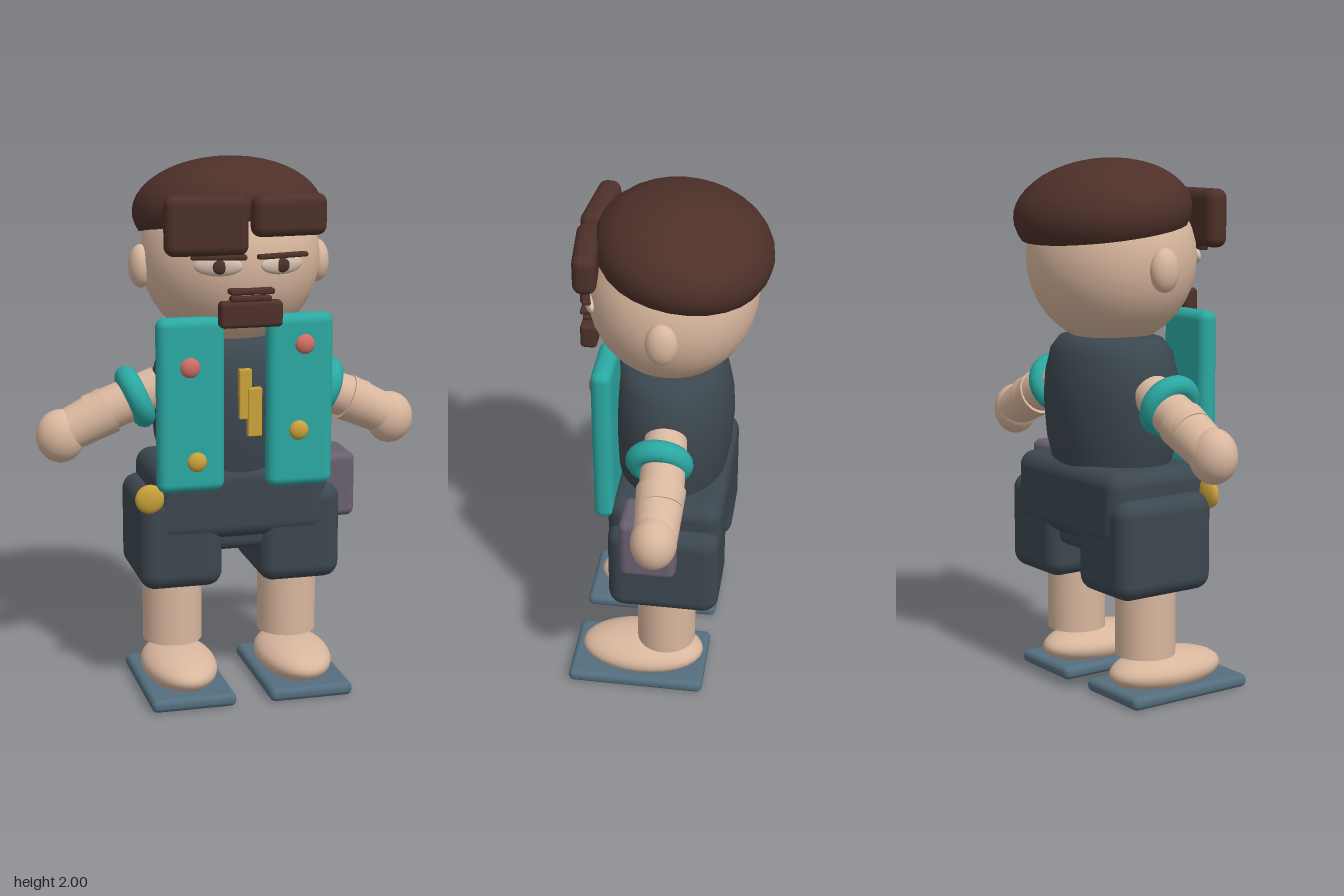
import * as THREE from 'three';
import { RoundedBoxGeometry } from 'three/addons/geometries/RoundedBoxGeometry.js';

const mat = (name, color, side = THREE.FrontSide) => {
  const m = new THREE.MeshStandardMaterial({ color, side });
  m.name = name;
  return m;
};

export function createModel() {
  const model = new THREE.Group();
  model.name = 'figure';
  const skin = mat('skin', 0xd9b79e);
  const hair = mat('hairBrown', 0x4d3029, THREE.DoubleSide);
  const teal = mat('vestTeal', 0x2ba8a2);
  const dark = mat('clothSlate', 0x3c474f);
  const sole = mat('soleBlue', 0x546e7e);
  const purple = mat('pouchPurple', 0x6a6070);
  const gold = mat('gold', 0xc9a23a);
  const pink = mat('buttonPink', 0xcf6e66);
  const eyeTone = mat('eyeBeige', 0xd6c0ae);

  const add = (name, geo, material, pos, rot = [0, 0, 0]) => {
    const m = new THREE.Mesh(geo, material);
    m.name = name;
    m.position.set(...pos);
    m.rotation.set(...rot);
    model.add(m);
    return m;
  };
  const box = (name, material, size, pos, r = 0.02, rot) =>
    add(name, new RoundedBoxGeometry(...size, 4, r), material, pos, rot);
  const ball = (name, material, radii, pos, rot) =>
    add(name, new THREE.SphereGeometry(1, 28, 18).scale(...radii), material, pos, rot);
  // Tapered limb running from a to b
  const limb = (name, a, b, ra, rb) => {
    const from = new THREE.Vector3(...a), to = new THREE.Vector3(...b);
    const dir = to.clone().sub(from);
    const m = add(name, new THREE.CylinderGeometry(rb, ra, dir.length(), 24), skin,
      from.clone().add(to).multiplyScalar(0.5).toArray());
    m.quaternion.setFromUnitVectors(new THREE.Vector3(0, 1, 0), dir.normalize());
  };

  // Head and cap of hair
  ball('head', skin, [0.335, 0.325, 0.31], [0, 1.632, 0]);
  add('hairCap', new THREE.SphereGeometry(1, 28, 14, 0, Math.PI * 2, 0, Math.PI * 0.615)
    .scale(0.355, 0.196, 0.32), hair, [0, 1.8, -0.04], [-0.14, 0, 0]);
  box('fringeRight', hair, [0.3, 0.215, 0.085], [-0.16, 1.78, 0.285], 0.035, [0, -0.1, 0]);
  box('fringeLeft', hair, [0.28, 0.15, 0.085], [0.143, 1.81, 0.285], 0.035, [0, 0.1, 0]);

  // Face
  box('moustache', hair, [0.165, 0.022, 0.05], [0, 1.545, 0.304], 0.008);
  box('mouth', hair, [0.15, 0.02, 0.05], [0, 1.518, 0.295], 0.008);
  box('beard', hair, [0.23, 0.095, 0.06], [0, 1.462, 0.295], 0.015);

  // Torso
  const profile = [[0.26, 0.85], [0.29, 0.96], [0.303, 1.1], [0.295, 1.2], [0.27, 1.29],
    [0.23, 1.335], [0.15, 1.355], [0, 1.36]].map(p => new THREE.Vector2(...p));
  add('torso', new THREE.LatheGeometry(profile, 32).scale(1, 1, 0.76), dark, [0, 0, 0]);

  // Hips
  box('hips', dark, [0.66, 0.285, 0.43], [0, 0.738, -0.008], 0.06);
  box('crotch', dark, [0.24, 0.18, 0.36], [0, 0.635, -0.005], 0.04);

  for (const s of [-1, 1]) {
    const side = s > 0 ? 'Left' : 'Right';
    // Ear, eye and brow
    ball('ear' + side, skin, [0.045, 0.08, 0.058], [s * 0.337, 1.605, -0.005]);
    ball('eye' + side, eyeTone, [0.088, 0.036, 0.02], [s * 0.117, 1.635, 0.288], [0, s * 0.32, 0]);
    ball('iris' + side, hair, [0.026, 0.026, 0.012], [s * 0.115, 1.634, 0.306]);
    box('brow' + side, hair, [0.2, 0.018, 0.03], [s * 0.117, 1.668, 0.3], 0.007, [0, s * 0.25, 0]);

    // Vest panel and sleeve band
    box('vestPanel' + side, teal, [0.25, 0.645, 0.075], [s * 0.205, 1.123, 0.217], 0.034);
    const band = add('sleeveBand' + side, new THREE.TorusGeometry(0.082, 0.041, 14, 28), teal,
      [s * 0.365, 1.118, 0]);
    band.quaternion.setFromUnitVectors(new THREE.Vector3(0, 0, 1),
      new THREE.Vector3(s * 0.92, -0.39, 0).normalize());

    // Arm and hand
    limb('upperArm' + side, [s * 0.27, 1.15, -0.01], [s * 0.53, 1.045, -0.025], 0.078, 0.083);
    limb('forearm' + side, [s * 0.46, 1.07, -0.02], [s * 0.64, 0.985, -0.025], 0.09, 0.078);
    ball('hand' + side, skin, [0.092, 0.1, 0.083], [s * 0.643, 0.98, -0.02]);

    // Shorts leg, shin, foot and sandal
    box('shortsLeg' + side, dark, [0.315, 0.37, 0.42], [s * 0.228, 0.597, -0.008], 0.06);
    add('shin' + side, new THREE.CylinderGeometry(0.113, 0.113, 0.3, 28), skin, [s * 0.228, 0.315, -0.005]);
    ball('foot' + side, skin, [0.14, 0.076, 0.24], [s * 0.225, 0.09, 0.09]);
    box('sandal' + side, sole, [0.32, 0.05, 0.53], [s * 0.225, 0.027, 0.102], 0.022);
  }

  // Buttons
  const buttons = [['buttonUpperLeft', pink, 0.217, 1.335], ['buttonUpperRight', pink, -0.212, 1.267],
    ['buttonLowerLeft', gold, 0.196, 1.015], ['buttonLowerRight', gold, -0.188, 0.917]];
  for (const [name, m, x, y] of buttons) ball(name, m, [0.037, 0.037, 0.022], [x, y, 0.253]);

  // Clasp bars, belt charm and pouch
  box('claspUpper', gold, [0.047, 0.185, 0.03], [-0.003, 1.157, 0.233], 0.004);
  box('claspLower', gold, [0.053, 0.18, 0.03], [0.031, 1.09, 0.238], 0.004);
  ball('beltCharm', gold, [0.055, 0.055, 0.024], [-0.352, 0.772, 0.192]);
  box('pouch', purple, [0.18, 0.25, 0.21], [0.366, 0.763, 0.038], 0.03);

  return model;
}
